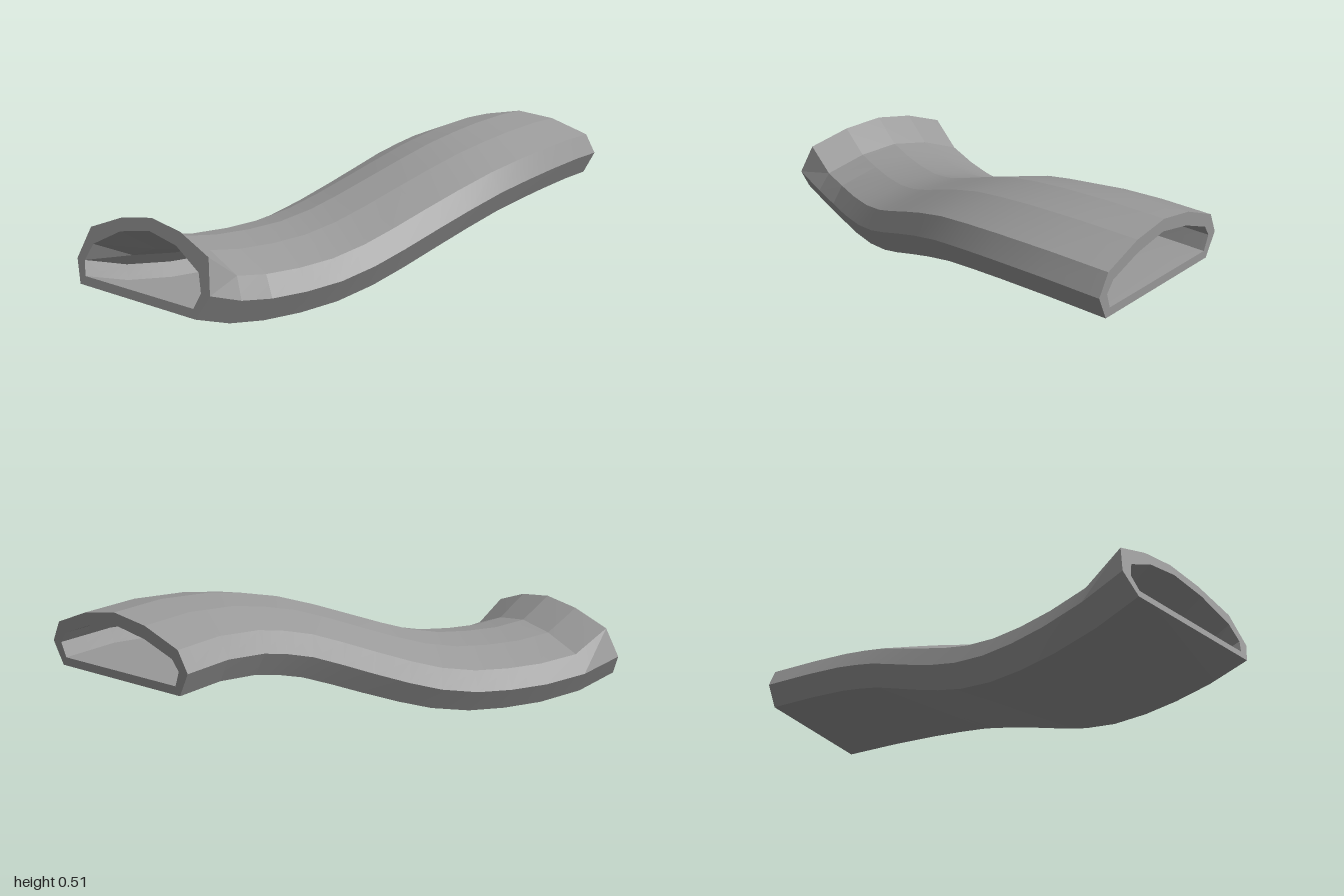
import * as THREE from 'three';
import { toCreasedNormals } from 'three/addons/utils/BufferGeometryUtils.js';

// Right half of the D-shaped section (side, height), bottom corner to crown
const OUTER = [[0.291, 0], [0.334, 0.082], [0.295, 0.155], [0.146, 0.211], [0, 0.233]];
const INNER = [[0.273, 0.03], [0.293, 0.082], [0.265, 0.12], [0.14, 0.165], [0, 0.19]];

// Floor centreline of the channel, with optional width scale and roof rise per station
const PATH = [
  [-0.968, 0.064, -0.16, 1.05, 0.042], [-0.81, 0.018, -0.143, 1.02, 0], [-0.65, -0.001, -0.111],
  [-0.5, -0.001, -0.071], [-0.35, 0.011, -0.032], [-0.2, 0.043, 0.01], [-0.07, 0.086, 0.049],
  [0.07, 0.138, 0.089], [0.2, 0.186, 0.124], [0.33, 0.228, 0.151], [0.45, 0.253, 0.166],
  [0.57, 0.27, 0.172], [0.75, 0.279, 0.163], [0.945, 0.271, 0.131],
];

// Mirror a half profile into a closed loop
const mirror = (half) => [...half, ...half.slice(0, -1).reverse().map(([s, h]) => [-s, h])];

// Place a section square to the path at every station
function rings(profile) {
  const points = PATH.map(([x, y, z]) => new THREE.Vector3(x, y, z));
  const last = points.length - 1;
  return points.map((p, i) => {
    const tangent = points[Math.min(i + 1, last)].clone().sub(points[Math.max(i - 1, 0)]).normalize();
    const side = tangent.clone().cross(new THREE.Vector3(0, 1, 0)).normalize();
    const up = side.clone().cross(tangent);
    const [, , , wide = 1, rise = 0] = PATH[i];
    return profile.map(([s, h]) => p.clone()
      .addScaledVector(side, s * wide)
      .addScaledVector(up, h + rise * THREE.MathUtils.smoothstep(h, 0.08, 0.155)));
  });
}

// Join two closed loops with a band of quads
function band(out, a, b) {
  for (let j = 0; j < a.length; j++) {
    const k = (j + 1) % a.length;
    for (const v of [a[j], b[j], b[k], a[j], b[k], a[k]]) out.push(v.x, v.y, v.z);
  }
}

// Smooth along the path, faceted around the section
function makeMesh(name, positions, material) {
  const geometry = new THREE.BufferGeometry();
  geometry.setAttribute('position', new THREE.Float32BufferAttribute(positions, 3));
  const mesh = new THREE.Mesh(toCreasedNormals(geometry, 0.15), material);
  mesh.name = name;
  return mesh;
}

export function createModel() {
  const group = new THREE.Group();
  group.name = 'curvedTunnel';
  const material = new THREE.MeshStandardMaterial({ color: 0x999999 });
  const outer = rings(mirror(OUTER));
  const inner = rings(mirror(INNER));
  const last = PATH.length - 1;

  // Outer shell and inner lining
  const shell = [], lining = [];
  for (let i = 0; i < last; i++) {
    band(shell, outer[i], outer[i + 1]);
    band(lining, inner[i + 1], inner[i]);
  }

  // Rims closing the wall at both openings
  const lowRim = [], highRim = [];
  band(lowRim, inner[0], outer[0]);
  band(highRim, outer[last], inner[last]);

  group.add(
    makeMesh('outerShell', shell, material),
    makeMesh('innerLining', lining, material),
    makeMesh('lowerRim', lowRim, material),
    makeMesh('upperRim', highRim, material),
  );
  return group;
}
